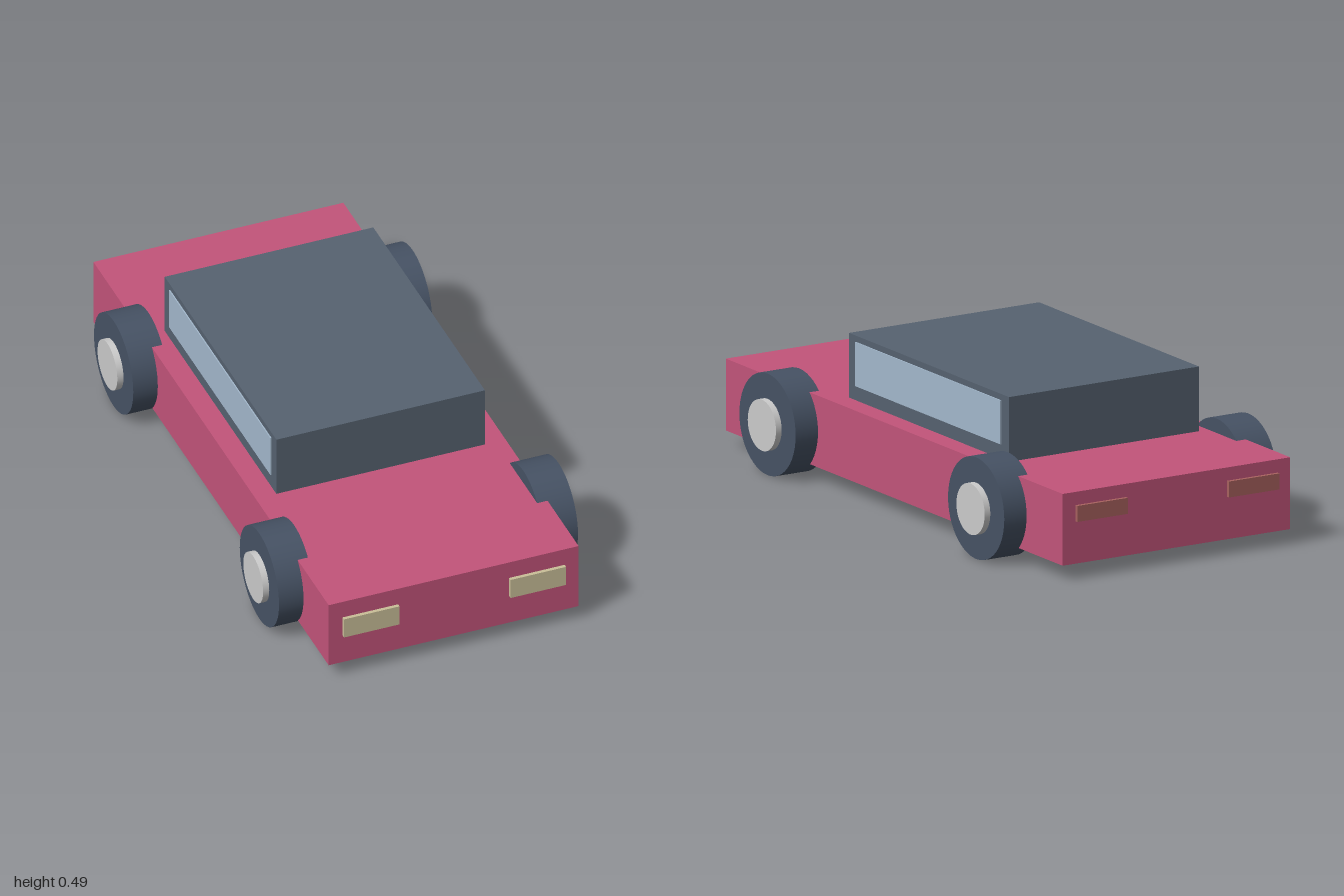
import * as THREE from 'three';

const paint = (color) => new THREE.MeshStandardMaterial({ color });

export function createModel() {
  const car = new THREE.Group();
  car.name = 'car';

  const red = paint(0xc2547a);
  const slate = paint(0x566270);
  const rubber = paint(0x465264);
  const metal = paint(0xbcbcbc);
  const glass = paint(0xa3b8cc);
  const headlightMat = paint(0xcabf98);
  const taillightMat = paint(0xa8625f);

  // Box given by its min and max corners
  function box(name, material, [x0, y0, z0], [x1, y1, z1]) {
    const mesh = new THREE.Mesh(new THREE.BoxGeometry(x1 - x0, y1 - y0, z1 - z0), material);
    mesh.position.set((x0 + x1) / 2, (y0 + y1) / 2, (z0 + z1) / 2);
    mesh.name = name;
    car.add(mesh);
  }

  // Cylinder lying along x
  function disc(name, material, radius, width) {
    const geometry = new THREE.CylinderGeometry(radius, radius, width, 48).rotateZ(Math.PI / 2);
    const mesh = new THREE.Mesh(geometry, material);
    mesh.name = name;
    return mesh;
  }

  // Body and cabin
  box('body', red, [-0.423, 0.05, -0.988], [0.423, 0.283, 0.988]);
  box('cabin', slate, [-0.353, 0.283, -0.563], [0.353, 0.493, 0.375]);

  for (const side of [1, -1]) {
    const label = side > 0 ? 'left' : 'right';
    const span = (a, b) => (side > 0 ? [a, b] : [-b, -a]);

    // Side window
    const [w0, w1] = span(0.345, 0.357);
    box(`${label}Window`, glass, [w0, 0.33, -0.518], [w1, 0.473, 0.335]);

    // Lamps
    const [l0, l1] = span(0.188, 0.376);
    box(`${label}Headlight`, headlightMat, [l0, 0.153, 0.976], [l1, 0.223, 1]);
    box(`${label}Taillight`, taillightMat, [l0, 0.188, -1], [l1, 0.24, -0.976]);

    // Wheels with protruding hubs
    for (const end of [1, -1]) {
      const wheel = new THREE.Group();
      wheel.name = `${label}${end > 0 ? 'Front' : 'Rear'}Wheel`;
      wheel.add(disc('tyre', rubber, 0.165, 0.118), disc('hub', metal, 0.083, 0.16));
      wheel.position.set(side * 0.447, 0.165, end * 0.612);
      car.add(wheel);
    }
  }
  return car;
}
